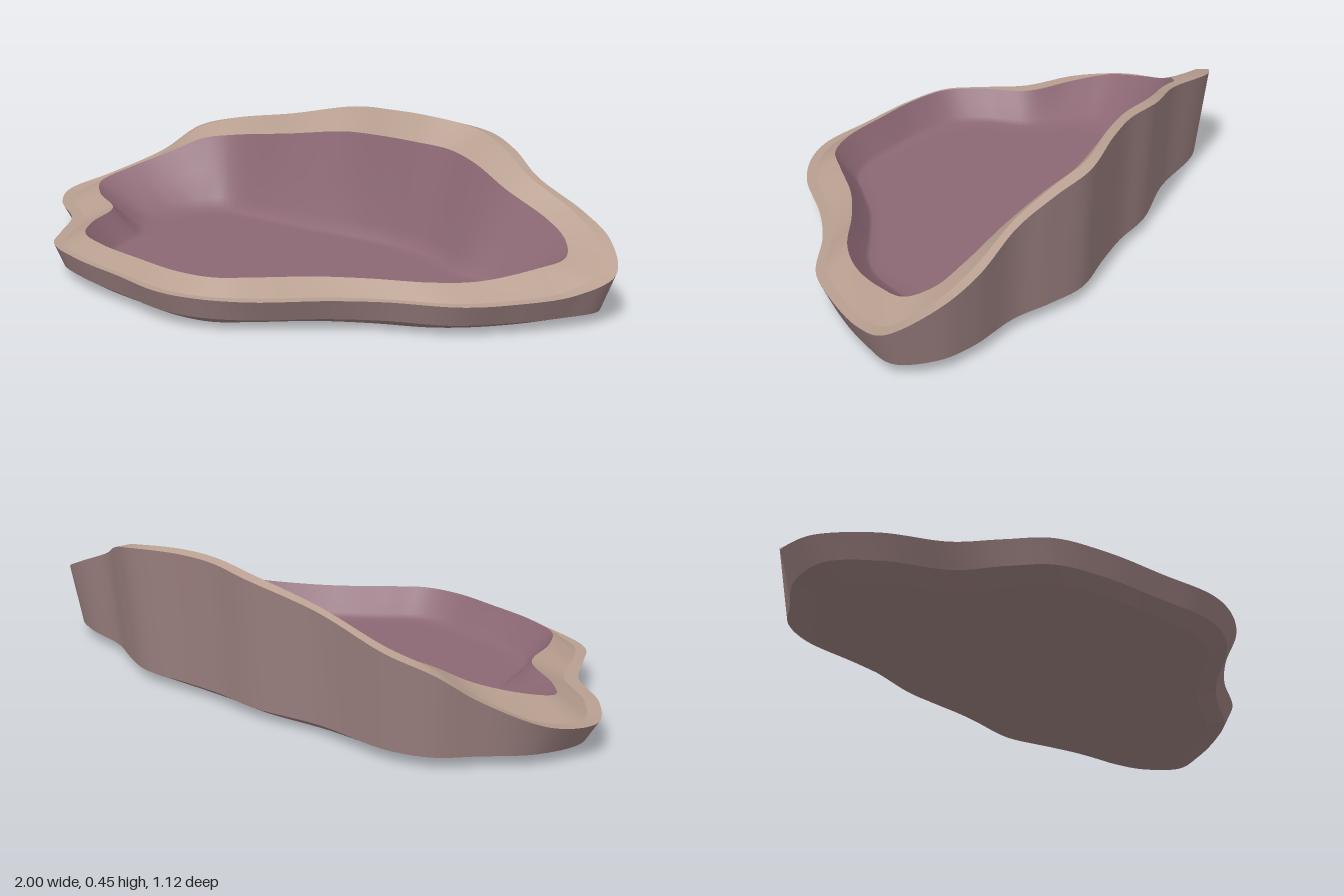
import * as THREE from 'three';
import { mergeGeometries } from 'three/addons/utils/BufferGeometryUtils.js';

const N = 232;

// Matching control loops (x, y, z), clockwise from the left tip along the back
const OUTER = [
  -1, .1, -.05, -.97, .125, -.21, -.85, .2, -.35, -.77, .28, -.45, -.64, .32, -.5,
  -.37, .375, -.495, -.13, .425, -.54, .03, .438, -.53, .17, .438, -.54, .37, .42, -.56,
  .49, .39, -.52, .61, .335, -.465, .79, .265, -.44, .91, .215, -.39, .995, .15, -.28,
  .94, .11, -.16, .83, .1, 0, .73, .1, .11, .54, .1, .21, .41, .1, .305,
  .25, .1, .455, .11, .1, .53, -.02, .1, .555, -.21, .1, .525, -.42, .1, .49,
  -.58, .1, .43, -.66, .1, .32, -.74, .1, .2, -.9, .1, .09,
];
const INNER = [
  -.86, .15, -.06, -.83, .18, -.18, -.76, .22, -.29, -.68, .265, -.365, -.58, .285, -.41,
  -.34, .325, -.43, -.13, .36, -.46, .03, .37, -.46, .15, .37, -.465, .28, .365, -.47,
  .4, .345, -.44, .54, .3, -.395, .72, .245, -.355, .8, .21, -.32, .845, .18, -.25,
  .81, .165, -.15, .71, .142, -.01, .61, .14, .08, .45, .14, .165, .32, .14, .25,
  .19, .14, .37, .1, .14, .445, -.02, .14, .47, -.19, .14, .455, -.36, .14, .43,
  -.49, .14, .38, -.56, .14, .28, -.62, .14, .13, -.78, .14, .03,
];
// Foot of the inner wall (x, z)
const FOOT = [
  -.66, -.08, -.65, -.13, -.63, -.18, -.59, -.25, -.53, -.31, -.34, -.33, -.13, -.345,
  .03, -.365, .15, -.37, .25, -.355, .36, -.32, .46, -.27, .59, -.25, .64, -.22, .66, -.19,
  .64, -.12, .58, 0, .52, .06, .4, .13, .28, .2, .16, .3, .08, .37, -.02, .4,
  -.17, .39, -.32, .37, -.43, .32, -.5, .22, -.53, .1, -.6, 0,
];
const FLOOR_Y = .05;

// Smooth closed ring through control points
function ring(points) {
  const curve = new THREE.CatmullRomCurve3(points, true, 'centripetal');
  return Array.from({ length: N }, (_, i) => curve.getPoint(i / N));
}
const triples = a => Array.from({ length: a.length / 3 }, (_, i) => new THREE.Vector3().fromArray(a, i * 3));

// Ring between two rings, with an optional rule for the height
const between = (a, b, t, height) => a.map((p, i) => {
  const q = p.clone().lerp(b[i], t);
  if (height) q.y = height(p, b[i]);
  return q;
});

// Skin through successive rings with smooth normals
function loft(rings) {
  const pos = [], idx = [];
  rings.forEach(r => r.forEach(p => pos.push(p.x, p.y, p.z)));
  for (let k = 0; k < rings.length - 1; k++) {
    for (let i = 0; i < N; i++) {
      const j = (i + 1) % N;
      const a = k * N + i, b = k * N + j, c = a + N, d = b + N;
      idx.push(a, c, d, a, d, b);
    }
  }
  const g = new THREE.BufferGeometry();
  g.setAttribute('position', new THREE.Float32BufferAttribute(pos, 3));
  g.setIndex(idx);
  g.computeVertexNormals();
  return g;
}

function part(name, color, ...bands) {
  const mesh = new THREE.Mesh(mergeGeometries(bands), new THREE.MeshStandardMaterial({ color }));
  mesh.name = name;
  return mesh;
}

export function createModel() {
  const group = new THREE.Group();
  group.name = 'shallowBasin';

  const outer = ring(triples(OUTER));
  const inner = ring(triples(INNER));
  const footPoints = Array.from({ length: FOOT.length / 2 },
    (_, i) => new THREE.Vector3(FOOT[2 * i], FLOOR_Y, FOOT[2 * i + 1]));
  const foot = ring(footPoints);
  const centre = y => outer.map(() => new THREE.Vector3(0, y, 0));

  // Outer wall, chamfered foot and underside
  const base = between(outer, inner, .3, () => .035);
  const under = between(outer, inner, .95, () => .006);
  const underInner = between(under, centre(0), .2, () => 0);
  group.add(part('outerShell', 0x9c8080,
    loft([base, outer]),
    loft([under, base]),
    loft([centre(0), underInner, under])));

  // Rim: narrow flat ledge, then a bevel to the inner lip
  const ledge = between(outer, inner, .32, a => a.y + .03 * Math.max(0, a.y - .1));
  group.add(part('rim', 0xb89f90, loft([outer, ledge]), loft([ledge, inner])));

  // Hollow: sloping wall easing into a flat floor
  const upperWall = between(inner, foot, .4, a => FLOOR_Y + (a.y - FLOOR_Y) * .55);
  const lowerWall = between(inner, foot, .8, a => FLOOR_Y + (a.y - FLOOR_Y) * .15);
  const floorEdge = between(foot, centre(FLOOR_Y), .12);
  group.add(part('hollow', 0x8c6874,
    loft([inner, upperWall, lowerWall, foot, floorEdge, centre(FLOOR_Y)])));

  return group;
}
